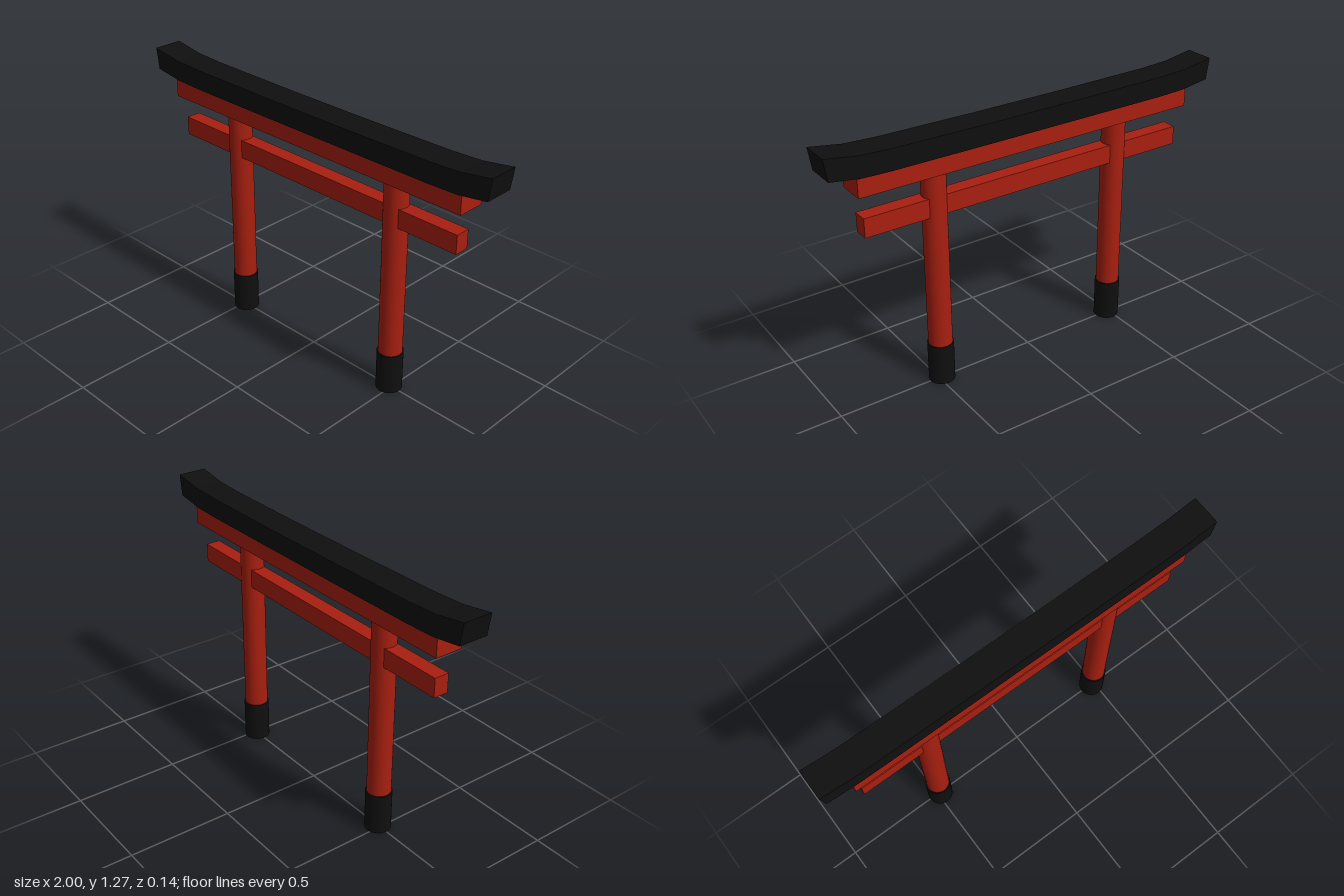
import * as THREE from 'three';

const red = new THREE.MeshStandardMaterial({ color: 0xa81f10 });
const black = new THREE.MeshStandardMaterial({ color: 0x0f0f0f });

export function createModel() {
  const gate = new THREE.Group();
  gate.name = 'gate';

  function add(name, geometry, material, x, y, z = 0) {
    const mesh = new THREE.Mesh(geometry, material);
    mesh.name = name;
    mesh.position.set(x, y, z);
    gate.add(mesh);
  }

  // Round pillars with dark sleeves at the foot
  for (const [side, s] of [['left', 1], ['right', -1]]) {
    add(side + 'Pillar', new THREE.CylinderGeometry(0.056, 0.056, 1.07, 32), red, s * 0.484, 0.535);
    add(side + 'PillarBase', new THREE.CylinderGeometry(0.061, 0.061, 0.2, 32), black, s * 0.484, 0.1);
  }

  // Lower tie beam passing through the pillars, and the upper beam resting on them
  add('tieBeam', new THREE.BoxGeometry(1.666, 0.09, 0.072), red, 0, 0.902);
  add('upperBeam', new THREE.BoxGeometry(1.724, 0.084, 0.132), red, 0, 1.1);

  // Top lintel: half outline from the middle, mirrored, with upswept slanted ends
  const top = [[0.23, 1.233], [0.7, 1.237], [0.85, 1.244], [1, 1.268]];
  const bottom = [[0.985, 1.165], [0.84, 1.144], [0.7, 1.14], [0.23, 1.139]];
  const half = [...bottom.reverse(), ...top.reverse()];
  const mirrored = half.map(([x, y]) => [-x, y]).reverse();
  const outline = new THREE.Shape([...half, ...mirrored].map(([x, y]) => new THREE.Vector2(x, y)));
  const depth = 0.142;
  const lintel = new THREE.ExtrudeGeometry(outline, { depth, bevelEnabled: false });
  add('topLintel', lintel, black, 0, 0, -depth / 2);

  return gate;
}
